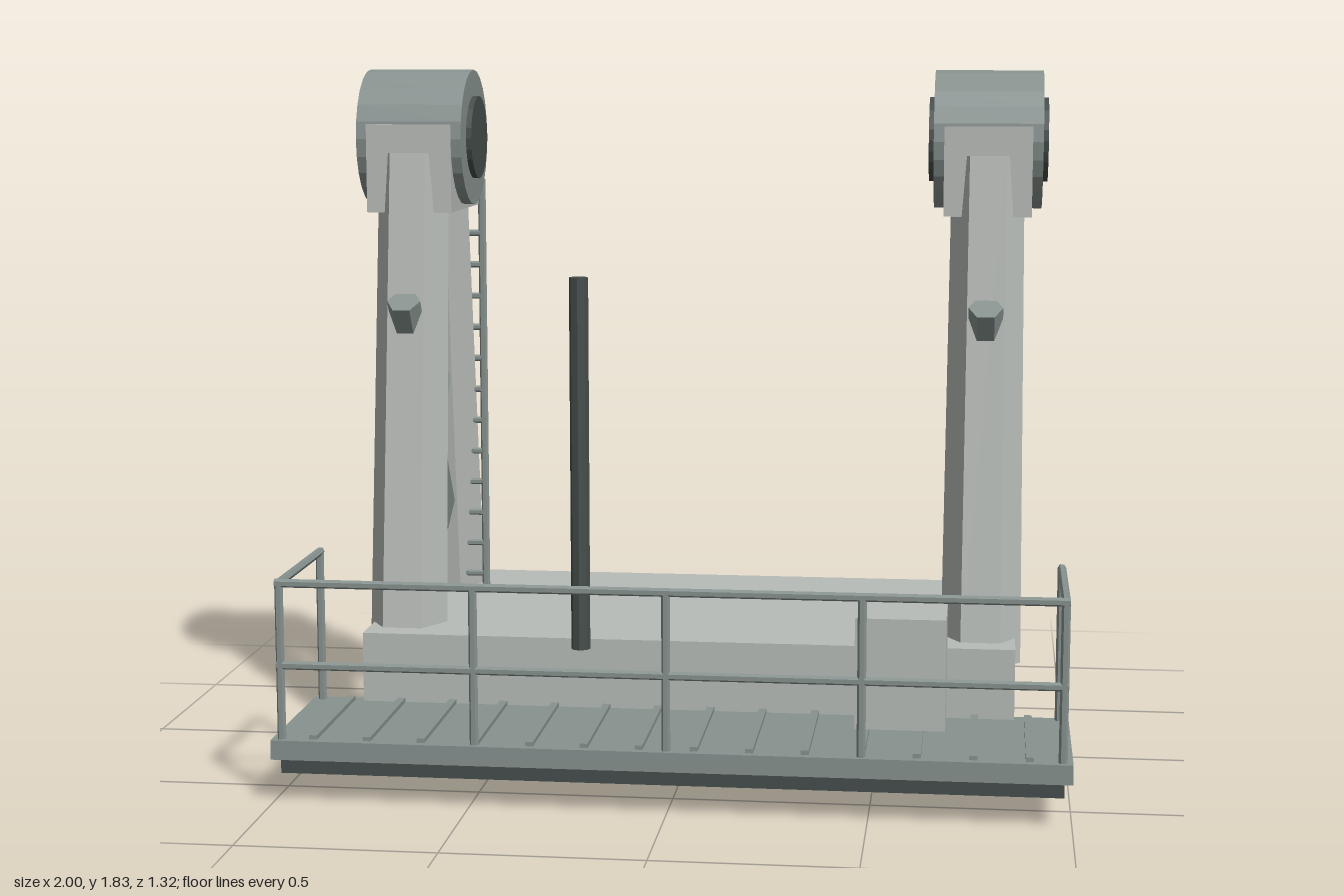
import * as THREE from 'three';

const mat = (color) => new THREE.MeshStandardMaterial({ color, flatShading: true });
const light = mat(0xb8bcb8), mid = mat(0x87928f), dark = mat(0x454e4c);
const ringMat = mat(0xb8bcb8);
ringMat.side = THREE.DoubleSide;

const AXIS_Z = -0.17; // shared centre of the turntable and both towers

export function createModel() {
  const model = new THREE.Group();

  function add(parent, name, geometry, material, x = 0, y = 0, z = 0) {
    const mesh = new THREE.Mesh(geometry, material);
    mesh.name = name;
    mesh.position.set(x, y, z);
    parent.add(mesh);
    return mesh;
  }

  // Box given by its min and max corners
  function box(parent, name, material, [x0, y0, z0], [x1, y1, z1]) {
    return add(parent, name, new THREE.BoxGeometry(x1 - x0, y1 - y0, z1 - z0), material,
      (x0 + x1) / 2, (y0 + y1) / 2, (z0 + z1) / 2);
  }

  // Prism between two points, with a corner facing sideways
  function bar(parent, name, material, a, b, r0, r1 = r0, sides = 6) {
    const from = new THREE.Vector3(...a), to = new THREE.Vector3(...b);
    const dir = to.clone().sub(from);
    const geometry = new THREE.CylinderGeometry(r1, r0, dir.length(), sides);
    geometry.rotateY(Math.PI / 2);
    const mesh = add(parent, name, geometry, material);
    mesh.position.copy(from).add(to).multiplyScalar(0.5);
    mesh.quaternion.setFromUnitVectors(new THREE.Vector3(0, 1, 0), dir.normalize());
    return mesh;
  }

  // Turntable ring and deck
  add(model, 'turntableRing', new THREE.CylinderGeometry(0.49, 0.49, 0.12, 36, 1, true), ringMat, 0, 0.06, AXIS_Z);
  box(model, 'deck', light, [-0.86, 0.12, -0.6], [0.86, 0.35, 0.25]);

  // Front walkway with cross ribs
  const walkway = new THREE.Group();
  walkway.name = 'walkway';
  model.add(walkway);
  box(walkway, 'walkwayFloor', mid, [-1, 0.115, 0.22], [1, 0.165, 0.66]);
  box(walkway, 'walkwayUnderside', dark, [-0.98, 0.075, 0.237], [0.98, 0.115, 0.637]);
  for (let i = 0; i < 14; i++) {
    const x = -0.895 + i * 0.1377;
    box(walkway, 'floorRib', mid, [x - 0.01, 0.16, 0.24], [x + 0.01, 0.176, 0.64]);
  }

  // Guard rail
  const railing = new THREE.Group();
  railing.name = 'railing';
  model.add(railing);
  const railX = 0.975, frontZ = 0.64, backZ = 0.24, top = 0.565;
  for (let i = -2; i <= 2; i++) {
    const x = Math.abs(i) === 2 ? Math.sign(i) * railX : i * 0.483;
    bar(railing, 'railPost', mid, [x, 0.16, frontZ], [x, top, frontZ], 0.011);
  }
  for (const y of [0.355, top]) {
    bar(railing, 'frontRail', mid, [-railX - 0.01, y, frontZ], [railX + 0.01, y, frontZ], 0.011);
  }
  for (const x of [-railX, railX]) {
    bar(railing, 'sideRail', mid, [x, top, backZ - 0.01], [x, top, frontZ], 0.011);
    bar(railing, 'rearRailPost', mid, [x, 0.16, backZ], [x, top, backZ], 0.011);
  }

  // Control cabinet and mast
  box(model, 'cabinet', light, [0.457, 0.19, 0.245], [0.685, 0.475, 0.477]);
  bar(model, 'mast', dark, [-0.27, 0.33, 0.275], [-0.27, 1.305, 0.275], 0.025, 0.025, 8);

  // Twin towers: splayed legs, crossed braces, bearing housing and drum
  for (const side of [-1, 1]) {
    const tower = new THREE.Group();
    tower.name = side < 0 ? 'rightTower' : 'leftTower';
    tower.position.set(side * 0.77, 0, AXIS_Z);
    model.add(tower);
    for (const s of [1, -1]) {
      bar(tower, 'towerLeg', light, [0, 0.28, s * 0.268], [0, 1.6, s * 0.115], 0.105, 0.095);
      bar(tower, 'crossBrace', mid, [0, 0.42, -s * 0.267], [0, 1.22, s * 0.267], 0.045);
    }
    box(tower, 'bearingHousing', light, [-0.115, 1.45, -0.183], [0.115, 1.685, 0.183]);
    const drum = (name, r, length, material) =>
      add(tower, name, new THREE.CylinderGeometry(r, r, length, 24).rotateZ(Math.PI / 2), material, 0, 1.645, 0);
    drum('bearingDrum', 0.183, 0.285, mid);
    drum('bearingPin', 0.112, 0.314, dark);
  }

  // Ladder on one tower
  const ladder = new THREE.Group();
  ladder.name = 'ladder';
  ladder.position.set(-0.775, 0, -0.365);
  model.add(ladder);
  for (const x of [-0.128, 0.128]) bar(ladder, 'ladderRail', mid, [x, 0.35, 0], [x, 1.52, 0], 0.011);
  for (let i = 0; i < 13; i++) {
    const y = 0.39 + i * 0.089;
    bar(ladder, 'ladderRung', mid, [-0.128, y, 0], [0.128, y, 0], 0.009);
  }

  return model;
}
